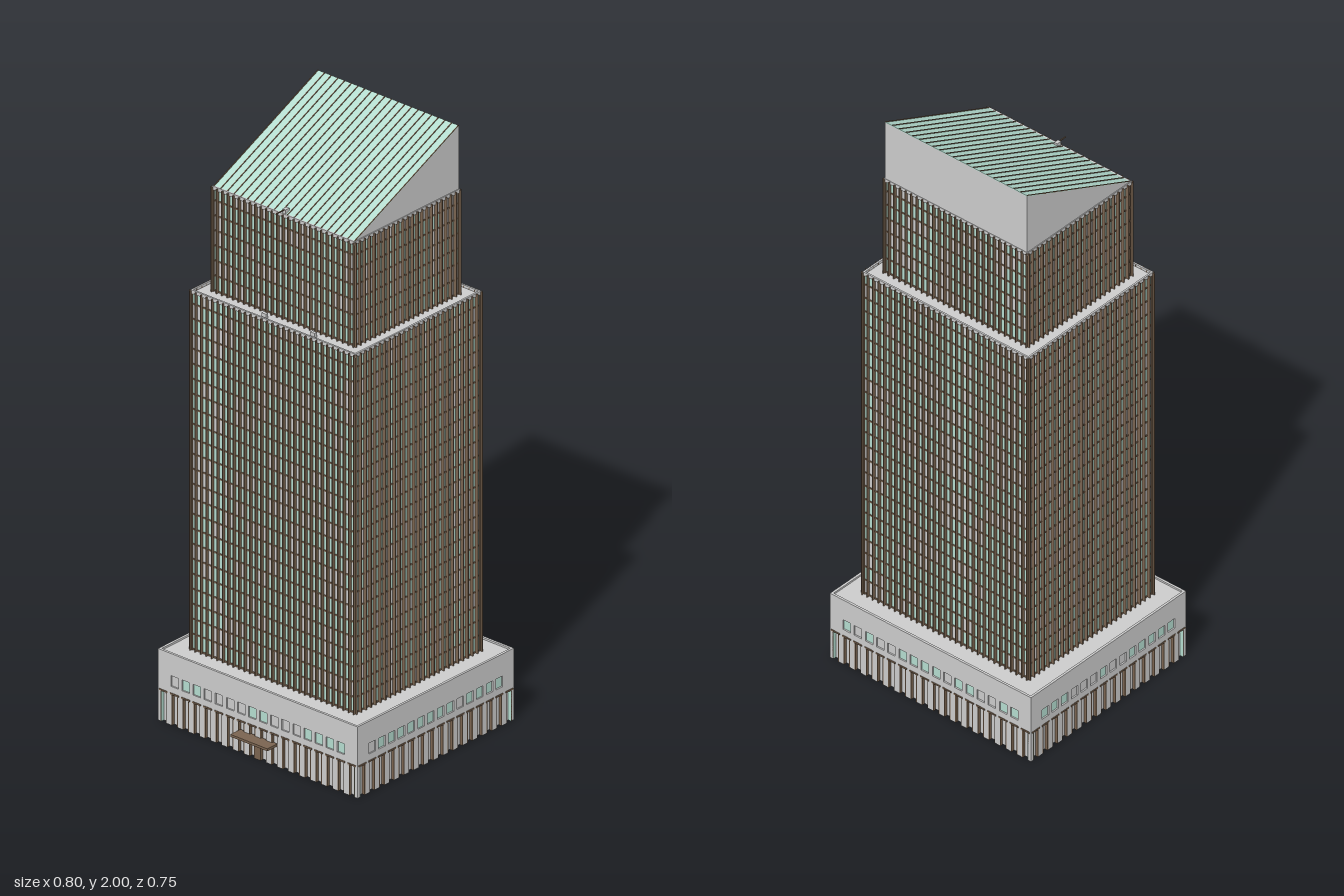
import * as THREE from 'three';
import { mergeGeometries } from 'three/addons/utils/BufferGeometryUtils.js';

const CZ = -0.02; // shared centre line of podium and towers
const mat = (color, side = THREE.FrontSide) => new THREE.MeshStandardMaterial({ color, side, flatShading: true });
const grey = mat(0xcccccc);
const blind = mat(0xcccccc, THREE.DoubleSide);
const glass = mat(0xb4dccf, THREE.DoubleSide);
const bronze = mat(0x7a6450);

// Repeatable 0..1 value for a grid position
function hash(a, b, c) {
  const s = Math.sin(a * 127.1 + b * 311.7 + c * 74.7) * 43758.5453;
  return s - Math.floor(s);
}

function box(w, h, d, x, y, z) {
  return new THREE.BoxGeometry(w, h, d).translate(x, y, z);
}

function pane(w, h, x, y, z) {
  return new THREE.PlaneGeometry(w, h).translate(x, y, z);
}

// Rectangular frame lying flat, between heights y0 and y1
function ring(w, d, t, y0, y1) {
  const rect = (C, a, b) => {
    const p = new C();
    p.moveTo(-a, -b); p.lineTo(a, -b); p.lineTo(a, b); p.lineTo(-a, b); p.closePath();
    return p;
  };
  const s = rect(THREE.Shape, w / 2, d / 2);
  s.holes.push(rect(THREE.Path, w / 2 - t, d / 2 - t));
  return new THREE.ExtrudeGeometry(s, { depth: y1 - y0, bevelEnabled: false })
    .rotateX(-Math.PI / 2).translate(0, y0, 0);
}

function add(parent, name, geos, material) {
  const list = [].concat(geos);
  if (!list.length) return;
  const m = new THREE.Mesh(list.length > 1 ? mergeGeometries(list) : list[0], material);
  m.name = name;
  parent.add(m);
}

// Calls build(group, width, index) for four walls; local z = 0 is the wall plane, +z is outward
function fourWalls(parent, names, w, d, build) {
  for (let i = 0; i < 4; i++) {
    const pivot = new THREE.Group();
    pivot.name = names + ['Front', 'Left', 'Back', 'Right'][i];
    pivot.rotation.y = i * Math.PI / 2;
    const wall = new THREE.Group();
    wall.position.z = (i % 2 ? w : d) / 2;
    pivot.add(wall);
    build(wall, i % 2 ? d : w, i);
    parent.add(pivot);
  }
}

// Curtain-walled block: core, panes, floor bands, vertical fins and a parapet
function tower(name, w, d, y0, y1, floors, seed) {
  const g = new THREE.Group();
  g.name = name;
  const H = y1 - y0, fh = H / floors;
  add(g, 'core', box(w - 0.014, H - 0.008, d - 0.014, 0, y0 + H / 2 - 0.004, 0), grey);
  add(g, 'parapet', ring(w, d, 0.006, y1 - 0.012, y1), grey);
  const bands = [];
  for (let f = 0; f < floors; f++) bands.push(ring(w - 0.006, d - 0.006, 0.006, y0 + f * fh, y0 + f * fh + 0.005));
  add(g, 'floorBands', bands, bronze);
  fourWalls(g, 'facade', w, d, (wall, width, side) => {
    const n = Math.round(width / 0.022), bay = width / n;
    const clear = [], closed = [], fins = [];
    for (let i = 0; i <= n; i++) {
      const x = -width / 2 + i * bay;
      const xf = THREE.MathUtils.clamp(x, -width / 2 + 0.002, width / 2 - 0.002);
      fins.push(box(0.003, H - 0.003, 0.013, xf, y0 + H / 2 - 0.0015, 0));
      if (i === n) break;
      for (let f = 0; f < floors; f++) {
        const list = hash(i >> 1, f, side + seed) < 0.3 ? closed : clear;
        const inset = i === 0 || i === n - 1 ? 0.005 : 0;
        list.push(pane(bay - inset, fh, x + bay / 2 + (i === 0 ? inset / 2 : -inset / 2), y0 + (f + 0.5) * fh, -0.0055));
      }
    }
    add(wall, 'glassPanes', clear, glass);
    add(wall, 'closedPanes', closed, blind);
    add(wall, 'fins', fins, bronze);
  });
  return g;
}

function podium(w, d, h) {
  const g = new THREE.Group();
  g.name = 'podium';
  const sill = 0.108, t = 0.008;
  add(g, 'terrace', box(w - 0.01, 0.008, d - 0.01, 0, h - 0.01, 0), grey);
  fourWalls(g, 'podiumWall', w, d, (wall, width, side) => {
    const bays = Math.round(width / 0.0437), bay = width / bays;
    const inner = width - (side % 2 ? 2 * t : 0); // side walls fit between front and back
    const s = new THREE.Shape();
    s.moveTo(-inner / 2, sill); s.lineTo(inner / 2, sill); s.lineTo(inner / 2, h); s.lineTo(-inner / 2, h); s.closePath();
    const clear = [], closed = [], piers = [], frames = [], shop = [];
    for (let i = 0; i < bays; i++) {
      const x = -width / 2 + (i + 0.5) * bay;
      // Upper windows, leaving the corner bays blank
      if (i > 0 && i < bays - 1) {
        const hole = new THREE.Path(), a = x - 0.015, b = x + 0.015;
        hole.moveTo(a, 0.13); hole.lineTo(a, 0.166); hole.lineTo(b, 0.166); hole.lineTo(b, 0.13); hole.closePath();
        s.holes.push(hole);
        (hash(i, 5, side) < 0.3 ? closed : clear).push(pane(0.03, 0.036, x, 0.148, -0.005));
      }
      // Ground-floor bay: pier edges, bronze frame and lintel
      const pw = (bay - 0.026) / 2;
      for (const k of [-1, 1]) {
        piers.push(box(pw, sill, 0.012, x + k * (bay - pw) / 2, sill / 2, -0.006));
        frames.push(box(0.003, 0.1, 0.01, x + k * 0.0115, 0.05, -0.005));
      }
      frames.push(box(0.034, 0.005, 0.004, x, 0.106, 0));
      shop.push(pane(bay, sill, x, sill / 2, -0.0135));
      closed.push(pane(0.026, sill, x, sill / 2, -0.0115));
    }
    add(wall, 'upperWall', new THREE.ExtrudeGeometry(s, { depth: t, bevelEnabled: false }).translate(0, 0, -t), grey);
    add(wall, 'upperWindows', clear, glass);
    add(wall, 'closedPanels', closed, blind);
    add(wall, 'piers', piers, grey);
    add(wall, 'shopFrames', frames, bronze);
    add(wall, 'innerGlazing', shop, glass);
  });
  return g;
}

// Sloping crown: solid wedge, glazed slope and raised ribs
function crown(w, zLow, zHigh, yLow, yHigh) {
  const g = new THREE.Group();
  g.name = 'crown';
  const s = new THREE.Shape([new THREE.Vector2(-zLow, yLow), new THREE.Vector2(-zHigh, yLow), new THREE.Vector2(-zHigh, yHigh)]);
  add(g, 'wedge', new THREE.ExtrudeGeometry(s, { depth: w, bevelEnabled: false })
    .rotateY(Math.PI / 2).translate(-w / 2, 0, 0), grey);
  const run = zLow - zHigh, rise = yHigh - yLow, len = Math.hypot(run, rise);
  const slope = new THREE.Group();
  slope.name = 'slope';
  slope.position.set(0, (yLow + yHigh) / 2, (zLow + zHigh) / 2);
  slope.rotation.x = Math.atan2(rise, run);
  const n = 21, ribs = [];
  for (let i = 0; i <= n; i++) ribs.push(box(0.003, 0.004, len, (i / n - 0.5) * (w - 0.003), 0.001, 0));
  add(slope, 'slopeGlass', box(w, 0.002, len, 0, 0, 0), glass);
  add(slope, 'slopeRibs', ribs, bronze);
  g.add(slope);
  return g;
}

export function createModel() {
  const model = new THREE.Group();
  model.name = 'officeTower';

  const blocks = new THREE.Group();
  blocks.name = 'blocks';
  blocks.position.z = CZ;
  blocks.add(podium(0.8, 0.71, 0.24));
  blocks.add(tower('mainTower', 0.66, 0.572, 0.234, 1.442, 24, 1));
  blocks.add(tower('upperTower', 0.572, 0.478, 1.434, 1.787, 7, 11));
  model.add(blocks);
  model.add(crown(0.566, 0.215, -0.258, 1.785, 1.998));

  // Entrance door and canopy
  add(model, 'door', box(0.026, 0.042, 0.008, 0, 0.021, 0.333), bronze);
  add(model, 'canopy', box(0.148, 0.008, 0.046, 0, 0.07, 0.352), bronze);

  // Roof equipment
  add(model, 'roofUnits', [-0.047, 0.148].map(x => box(0.018, 0.018, 0.011, x, 1.442, 0.25)), grey);
  add(model, 'cradleBase', box(0.012, 0.014, 0.018, 0, 1.794, 0.207), grey);
  add(model, 'cradleArm', box(0.003, 0.003, 0.04, 0, 1.799, 0.224), bronze);
  return model;
}
